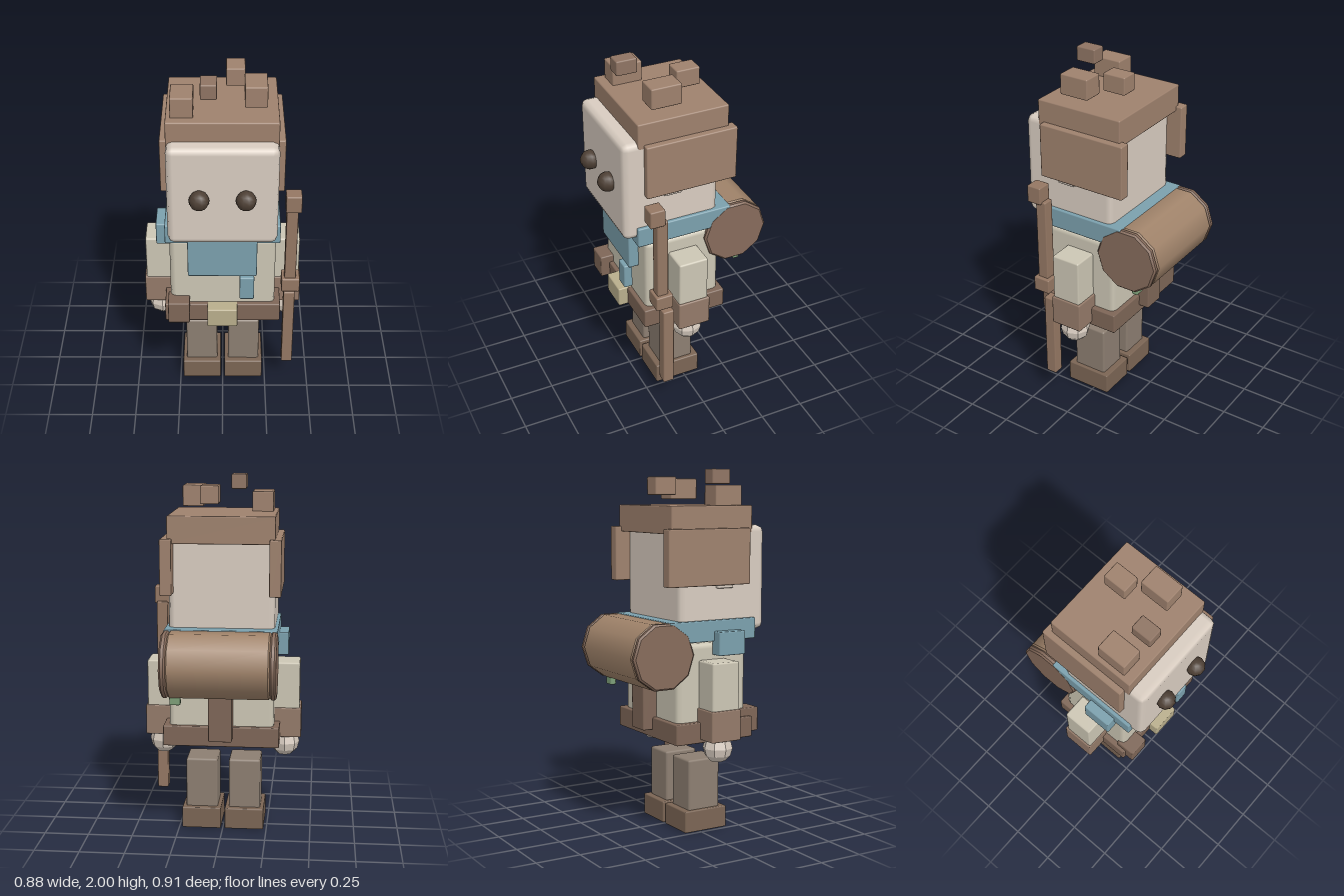
import * as THREE from 'three';
import { RoundedBoxGeometry } from 'three/addons/geometries/RoundedBoxGeometry.js';

const COLORS = {
  skin: 0xd8ccc0, hair: 0x9e816d, tuft: 0x8f7463, shirt: 0xccc6b4, scarf: 0x7ba0ad,
  leg: 0x8c7e71, boot: 0x7b6554, belt: 0x7e6657, cuff: 0x947a69, wood: 0x947763,
  eye: 0x4d3f34, buckle: 0xb9ae8c, roll: 0xa0836a, rollEnd: 0x866b5b, leaf: 0x7d9f78,
};
const materials = {};
for (const [key, color] of Object.entries(COLORS)) {
  materials[key] = new THREE.MeshStandardMaterial({ color });
}
const flatSkin = new THREE.MeshStandardMaterial({ color: COLORS.skin, flatShading: true });

export function createModel() {
  const model = new THREE.Group();
  model.name = 'blockyTraveller';

  const add = (name, geometry, material, x = 0, y = 0, z = 0) => {
    const mesh = new THREE.Mesh(geometry, material);
    mesh.name = name;
    mesh.position.set(x, y, z);
    model.add(mesh);
    return mesh;
  };

  // Softly bevelled block given by its extents on each axis
  const block = (name, key, [x0, x1], [y0, y1], [z0, z1], bevel = 0.007, segments = 1) =>
    add(name, new RoundedBoxGeometry(x1 - x0, y1 - y0, z1 - z0, segments, bevel), materials[key],
      (x0 + x1) / 2, (y0 + y1) / 2, (z0 + z1) / 2);

  // Mirrored pair of blocks, extents given for the +x side
  const pair = (name, key, [x0, x1], y, z, bevel) => {
    block('left' + name, key, [x0, x1], y, z, bevel);
    block('right' + name, key, [-x1, -x0], y, z, bevel);
  };

  // Legs and arms
  pair('Boot', 'boot', [0.011, 0.233], [0, 0.122], [-0.095, 0.175]);
  pair('Leg', 'leg', [0.032, 0.212], [0.11, 0.405], [-0.06, 0.14], 0.012);
  pair('Arm', 'shirt', [0.262, 0.43], [0.69, 0.975], [-0.045, 0.125], 0.01);
  pair('Cuff', 'cuff', [0.255, 0.44], [0.545, 0.715], [-0.055, 0.13]);
  for (const [side, s] of [['left', 1], ['right', -1]]) {
    add(side + 'Hand', new THREE.SphereGeometry(0.083, 8, 6), flatSkin, s * 0.347, 0.497, 0.04);
  }

  // Torso, belt and fittings
  block('torso', 'shirt', [-0.29, 0.29], [0.52, 1.065], [-0.18, 0.26], 0.03);
  block('belt', 'belt', [-0.322, 0.322], [0.525, 0.64], [-0.205, 0.285]);
  block('buckle', 'buckle', [-0.085, 0.083], [0.525, 0.642], [0.25, 0.34]);
  block('pouch', 'belt', [-0.303, -0.183], [0.55, 0.685], [0.22, 0.338]);
  block('neck', 'skin', [-0.15, 0.15], [1.03, 1.15], [-0.08, 0.18]);

  // Scarf
  block('scarfCollar', 'scarf', [-0.31, 0.31], [1.075, 1.19], [-0.235, 0.31]);
  block('scarfBib', 'scarf', [-0.19, 0.187], [0.86, 1.13], [0.245, 0.316]);
  block('scarfTail', 'scarf', [0.093, 0.173], [0.72, 0.865], [0.29, 0.34]);
  block('scarfKnot', 'scarf', [-0.363, -0.285], [1.0, 1.13], [0.04, 0.208]);

  // Head and face
  block('head', 'skin', [-0.291, 0.291], [1.12, 1.695], [-0.165, 0.381], 0.035);
  pair('Ear', 'skin', [0.26, 0.315], [1.36, 1.5], [0.06, 0.16]);
  for (const [side, s] of [['left', 1], ['right', -1]]) {
    add(side + 'Eye', new THREE.SphereGeometry(0.054, 10, 8), materials.eye, s * 0.121, 1.408, 0.4);
  }

  // Hair cap, side panels and loose tufts
  block('hairCap', 'hair', [-0.292, 0.29], [1.653, 1.803], [-0.217, 0.295]);
  pair('HairPanel', 'hair', [0.262, 0.326], [1.377, 1.682], [-0.253, 0.263]);
  const tufts = [
    ['hair', [-0.268, -0.15], [1.795, 1.912], [0.074, 0.242]],
    ['tuft', [-0.113, -0.028], [1.918, 2.0], [0.153, 0.27]],
    ['hair', [0.018, 0.118], [1.858, 1.957], [-0.133, 0]],
    ['hair', [0.113, 0.23], [1.833, 1.948], [0.022, 0.192]],
  ];
  tufts.forEach(([key, x, y, z], i) => block('hairTuft' + (i + 1), key, x, y, z));

  // Ten-sided cylinder with chamfered rims, lying along x
  const drum = (name, key, x0, x1, r, bevel) => {
    const h = (x1 - x0) / 2;
    const profile = [[0, -h], [r - bevel, -h], [r - bevel, -h], [r, bevel - h], [r, bevel - h],
      [r, h - bevel], [r, h - bevel], [r - bevel, h], [r - bevel, h], [0, h]]
      .map(([a, b]) => new THREE.Vector2(a, b));
    const geometry = new THREE.LatheGeometry(profile, 10).rotateZ(Math.PI / 2);
    add(name, geometry, materials[key], (x0 + x1) / 2, 1.01, -0.27);
  };

  // Bedroll with end discs, strap and a leaf tucked underneath
  drum('bedroll', 'roll', -0.28, 0.28, 0.185, 0.012);
  drum('leftRollEnd', 'rollEnd', 0.275, 0.311, 0.186, 0.01);
  drum('rightRollEnd', 'rollEnd', -0.311, -0.275, 0.186, 0.01);
  block('rollStrap', 'belt', [-0.065, 0.065], [0.57, 0.95], [-0.265, -0.17]);
  block('leaf', 'leaf', [0.21, 0.27], [0.79, 0.87], [-0.32, -0.285]);

  // Staff in separate pieces
  block('staffTop', 'wood', [0.335, 0.42], [1.255, 1.355], [0.203, 0.288]);
  block('staffUpper', 'wood', [0.343, 0.406], [0.78, 1.268], [0.18, 0.244]);
  block('staffGrip', 'wood', [0.327, 0.428], [0.71, 0.795], [0.16, 0.26]);
  block('staffLower', 'wood', [0.344, 0.407], [0.155, 0.665], [0.145, 0.21]);

  return model;
}
